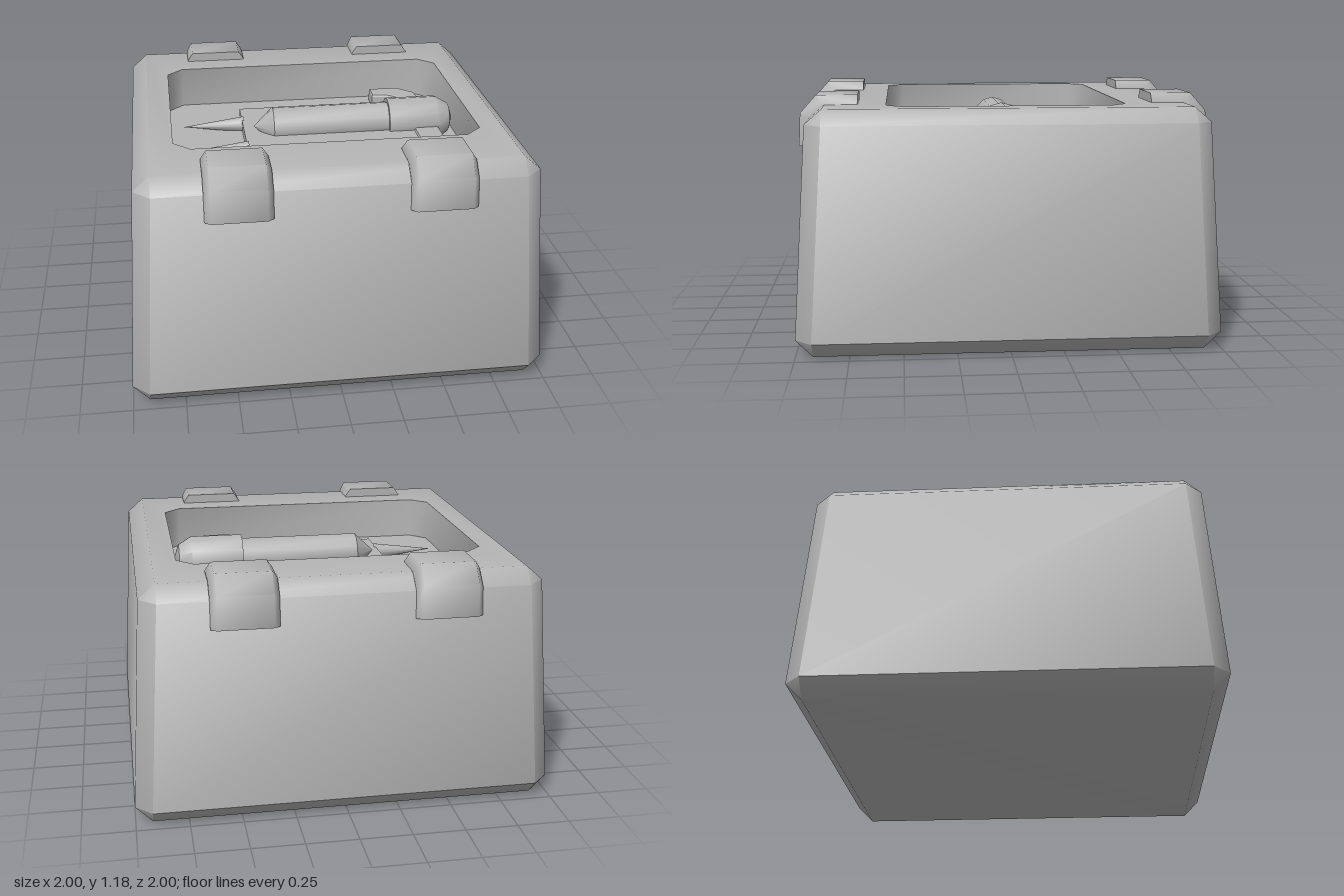
import * as THREE from 'three';
import { toCreasedNormals } from 'three/addons/utils/BufferGeometryUtils.js';

const FLOOR = 0.93;

// Skin between successive rings of equal point count, with both ends capped
function loft(rings, crease) {
  const pos = [];
  const tri = (a, b, c) => {
    const n = b.clone().sub(a).cross(c.clone().sub(a));
    if (n.length() > 1e-7) pos.push(...a, ...b, ...c);
  };
  const n = rings[0].length;
  for (let r = 0; r < rings.length - 1; r++) {
    const A = rings[r], B = rings[r + 1];
    for (let i = 0; i < n; i++) {
      const j = (i + 1) % n;
      tri(A[i], A[j], B[j]);
      tri(A[i], B[j], B[i]);
    }
  }
  const first = rings[0], last = rings[rings.length - 1];
  for (let i = 1; i < n - 1; i++) {
    tri(first[0], first[i + 1], first[i]);
    tri(last[0], last[i], last[i + 1]);
  }
  const g = new THREE.BufferGeometry();
  g.setAttribute('position', new THREE.Float32BufferAttribute(pos, 3));
  return toCreasedNormals(g, crease);
}

// Rectangle with cut corners, counter-clockwise from above
function cutRect(y, hx, hz, cut) {
  return [
    [hx, hz - cut], [hx, cut - hz], [hx - cut, -hz], [cut - hx, -hz],
    [-hx, cut - hz], [-hx, hz - cut], [cut - hx, hz], [hx - cut, hz],
  ].map(([x, z]) => new THREE.Vector3(x, y, z));
}

// Flat plate from an (x, z) outline, rising from the recess floor to a given height
function plate(points, top, bevel = 0) {
  const shape = new THREE.Shape(points.map(([x, z]) => new THREE.Vector2(x, -z)));
  const g = new THREE.ExtrudeGeometry(shape, {
    depth: top - FLOOR + 0.01 - bevel, bevelEnabled: bevel > 0,
    bevelSize: bevel, bevelThickness: bevel, bevelOffset: -bevel, bevelSegments: 2,
  });
  g.rotateX(-Math.PI / 2);
  g.translate(0, FLOOR - 0.01, 0);
  return g;
}

// Add the same outline mirrored across z = 0
const mirrored = (half) => [...half, ...half.map(([x, z]) => [x, -z]).reverse()];

// Round body along x from (radius, x) pairs
function turned(profile, segments) {
  const g = new THREE.LatheGeometry(profile.map(([r, x]) => new THREE.Vector2(r, x)), segments);
  g.rotateZ(-Math.PI / 2);
  return toCreasedNormals(g, 0.7);
}

export function createModel() {
  const model = new THREE.Group();
  const grey = new THREE.MeshStandardMaterial({ color: 0xb4b4b4 });
  grey.name = 'grey';
  const add = (parent, name, geometry, x = 0, y = 0, z = 0) => {
    const mesh = new THREE.Mesh(geometry, grey);
    mesh.name = name;
    mesh.position.set(x, y, z);
    parent.add(mesh);
    return mesh;
  };

  // Tapered block with bevelled edges and a recess sunk into the top
  add(model, 'block', loft([
    cutRect(0, 0.92, 0.92, 0),
    cutRect(0.08, 1, 1, 0.08),
    cutRect(1.07, 0.94, 0.94, 0.08),
    cutRect(1.14, 0.86, 0.86, 0),
    cutRect(1.14, 0.745, 0.57, 0.08),
    cutRect(FLOOR, 0.745, 0.57, 0.08),
  ], 0.8));

  // Clips folded over the front and back top edges: inner z, y, outer z, y
  const clipPath = [
    [0.705, 1.12, 0.705, 1.185],
    [0.86, 1.12, 0.9, 1.185],
    [0.92, 1.06, 0.977, 1.1],
    [0.935, 0.94, 0.985, 0.945],
  ];
  const clip = loft(clipPath.map(([iz, iy, oz, oy]) => [
    new THREE.Vector3(0.157, iy, iz),
    new THREE.Vector3(0.157, iy + (oy - iy) * 0.4, iz + (oz - iz) * 0.4),
    new THREE.Vector3(0.13, oy, oz),
    new THREE.Vector3(-0.13, oy, oz),
    new THREE.Vector3(-0.157, iy + (oy - iy) * 0.4, iz + (oz - iz) * 0.4),
    new THREE.Vector3(-0.157, iy, iz),
  ]), 1.1);
  for (const turn of [0, Math.PI]) {
    const clips = new THREE.Group();
    clips.name = turn ? 'backClips' : 'frontClips';
    clips.rotation.y = turn;
    for (const x of [-0.47, 0.47]) add(clips, 'clip', clip, x);
    model.add(clips);
  }

  // Small spacecraft lying in the recess
  const ship = new THREE.Group();
  ship.name = 'spacecraft';
  model.add(ship);

  add(ship, 'hull', plate(mirrored([
    [-0.37, 0.323], [-0.18, 0.323], [-0.04, 0.217], [0.52, 0.217],
  ]), 0.985));

  add(ship, 'fuselage', turned([[0, -0.32], [0.095, -0.22], [0.095, 0.4]], 12), 0, 1.01);
  add(ship, 'head', turned([
    [0, 0.38], [0.115, 0.38], [0.115, 0.64], [0.075, 0.705], [0, 0.73],
  ], 12), 0, 1.01);

  // Cross bar with hooked ends
  add(ship, 'hookedBar', plate(mirrored([
    [0.51, 0.22], [0.51, 0.35], [0.47, 0.39], [0.38, 0.41], [0.38, 0.51],
    [0.54, 0.51], [0.62, 0.43], [0.64, 0.22],
  ]).map((p) => p), 1.0, 0.015));

  for (const side of [-1, 1]) {
    // Braces between hull and hooks
    const brace = [[0.36, 0.21], [0.35, 0.36], [0.48, 0.38], [0.515, 0.35], [0.515, 0.21]];
    add(ship, 'brace', plate(brace.map(([x, z]) => [x, z * side]), 0.965));

    // Pointed barrels
    add(ship, 'barrel', turned([[0, -0.68], [0.042, -0.36]], 10), 0, 0.955, 0.172 * side);
  }

  return model;
}
